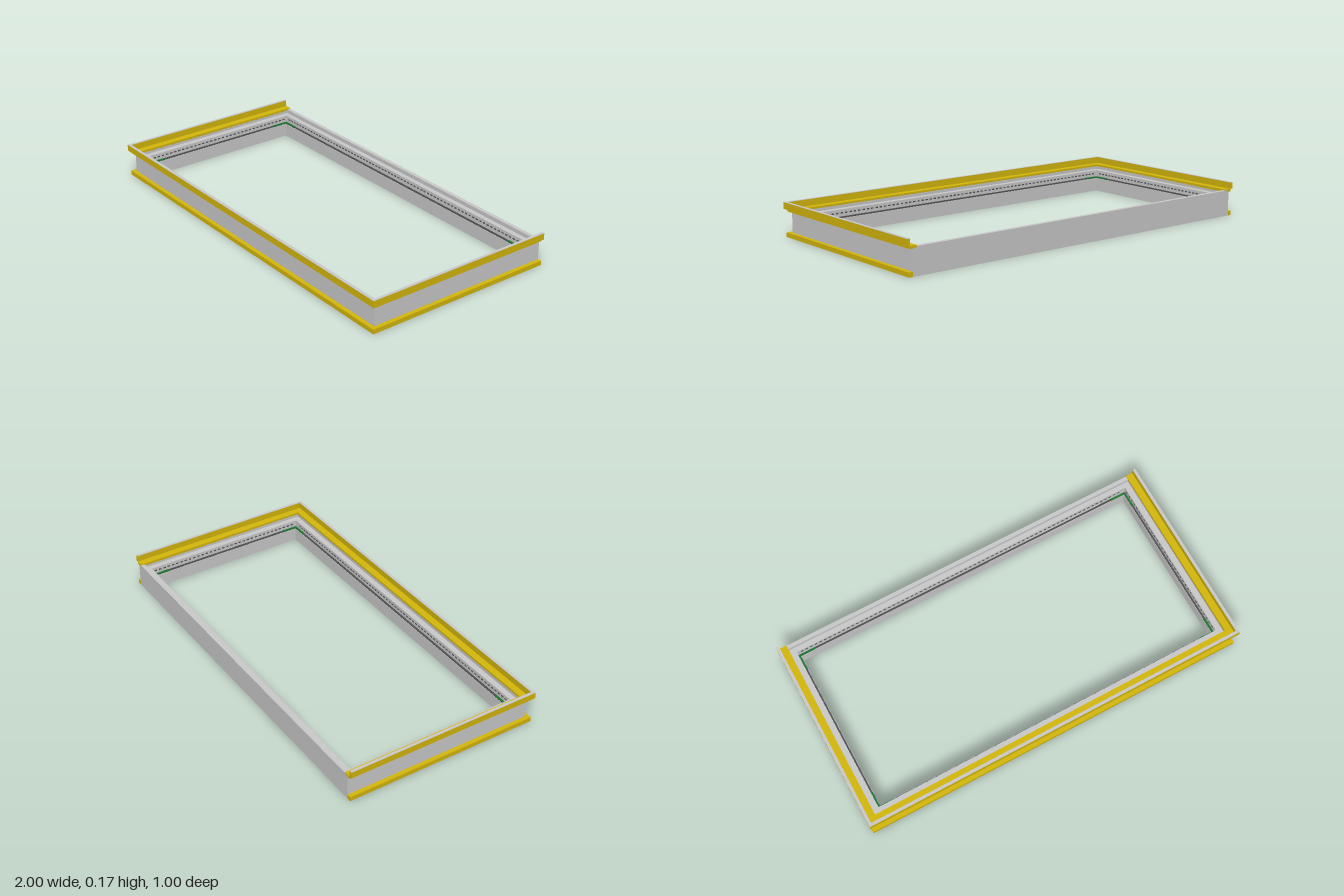
import * as THREE from 'three';
import { mergeGeometries } from 'three/addons/utils/BufferGeometryUtils.js';

const HX = 1, HZ = 0.5;

export function createModel() {
  const model = new THREE.Group();
  const mat = (color) => new THREE.MeshStandardMaterial({ color });
  const grey = mat(0xcccccc), yellow = mat(0xd6b80c);
  const dark = mat(0x555555), green = mat(0x1f7a33);

  const add = (name, geometry, material) => {
    const mesh = new THREE.Mesh(geometry, material);
    mesh.name = name;
    model.add(mesh);
  };

  // Box given by its limits
  const box = (x0, x1, y0, y1, z0, z1) =>
    new THREE.BoxGeometry(x1 - x0, y1 - y0, z1 - z0)
      .translate((x0 + x1) / 2, (y0 + y1) / 2, (z0 + z1) / 2);

  // U-shaped band along the front and both sides, inset d0..d1, open at the back
  const band = (d0, d1, y0, y1) => {
    const a = HX - d0, b = HX - d1, f = HZ - d0, g = HZ - d1;
    const points = [[-a, HZ], [-a, -f], [a, -f], [a, HZ], [b, HZ], [b, -g], [-b, -g], [-b, HZ]];
    const shape = new THREE.Shape(points.map(([x, y]) => new THREE.Vector2(x, y)));
    return new THREE.ExtrudeGeometry(shape, { depth: y1 - y0, bevelEnabled: false })
      .rotateX(-Math.PI / 2).translate(0, y0, 0);
  };

  // Stepped grey frame on the front and sides
  add('outerWall', band(0.028, 0.05, 0, 0.125), grey);
  add('upperStep', band(0.05, 0.08, 0, 0.11), grey);
  add('innerStep', band(0.08, 0.092, 0, 0.07), grey);

  // Yellow trims
  add('bottomTrim', band(0.007, 0.028, 0, 0.022), yellow);
  add('ledgeTrim', band(0.013, 0.05, 0.122, 0.135), yellow);
  add('topLip', band(0, 0.015, 0.135, 0.167), yellow);
  add('topLipCap', band(0, 0.015, 0.167, 0.168), grey);

  // Plain back wall, stepped on the inside
  add('backWall', box(-0.96, 0.96, 0, 0.13, -0.5, -0.48), grey);
  add('backUpperStep', box(-0.93, 0.93, 0, 0.11, -0.48, -0.455), grey);
  add('backInnerStep', box(-0.915, 0.915, 0, 0.07, -0.455, -0.44), grey);

  // Dark seal around the opening, with green corner pieces
  const sx = 0.91, zf = 0.41, zb = -0.442;
  const sealY0 = 0.07, sealY1 = 0.076, w = 0.008, len = 0.08;
  const seal = [
    box(-sx, sx, sealY0, sealY1, zf, zf + w),
    box(-sx, sx, sealY0, sealY1, zb - w, zb),
  ];
  const corners = [];
  for (const s of [-1, 1]) {
    const x0 = s > 0 ? sx : -sx - w;
    seal.push(box(x0, x0 + w, sealY0, sealY1, zb - w, zf + w));
    for (const z of [zb, zf]) {
      const c = s > 0 ? sx - len : -sx;
      const zz = z > 0 ? zf - 0.001 : zb - w;
      corners.push(box(c, c + len, sealY0, sealY1 + 0.001, zz, zz + w + 0.001));
      const zc = z > 0 ? zf - len : zb;
      const xs = s > 0 ? sx - 0.001 : -sx - w;
      corners.push(box(xs, xs + w + 0.001, sealY0, sealY1 + 0.001, zc, zc + len));
    }
  }
  add('seal', mergeGeometries(seal), dark);
  add('sealCorners', mergeGeometries(corners), green);

  // Rows of small notches on the inner faces of the frame
  const notches = [];
  const pitch = 0.025, n0 = 0.09, n1 = 0.096, t = 0.002;
  for (let x = -0.9; x < 0.895; x += pitch) {
    notches.push(box(x, x + 0.013, n0, n1, 0.42 - t, 0.42));
    notches.push(box(x, x + 0.013, n0, n1, -0.455, -0.455 + t));
  }
  for (let z = -0.44; z < 0.4; z += pitch) {
    for (const s of [-1, 1]) {
      const x = s * (0.92 - t / 2);
      notches.push(box(x - t / 2, x + t / 2, n0, n1, z, z + 0.013));
    }
  }
  add('notches', mergeGeometries(notches), dark);

  return model;
}
